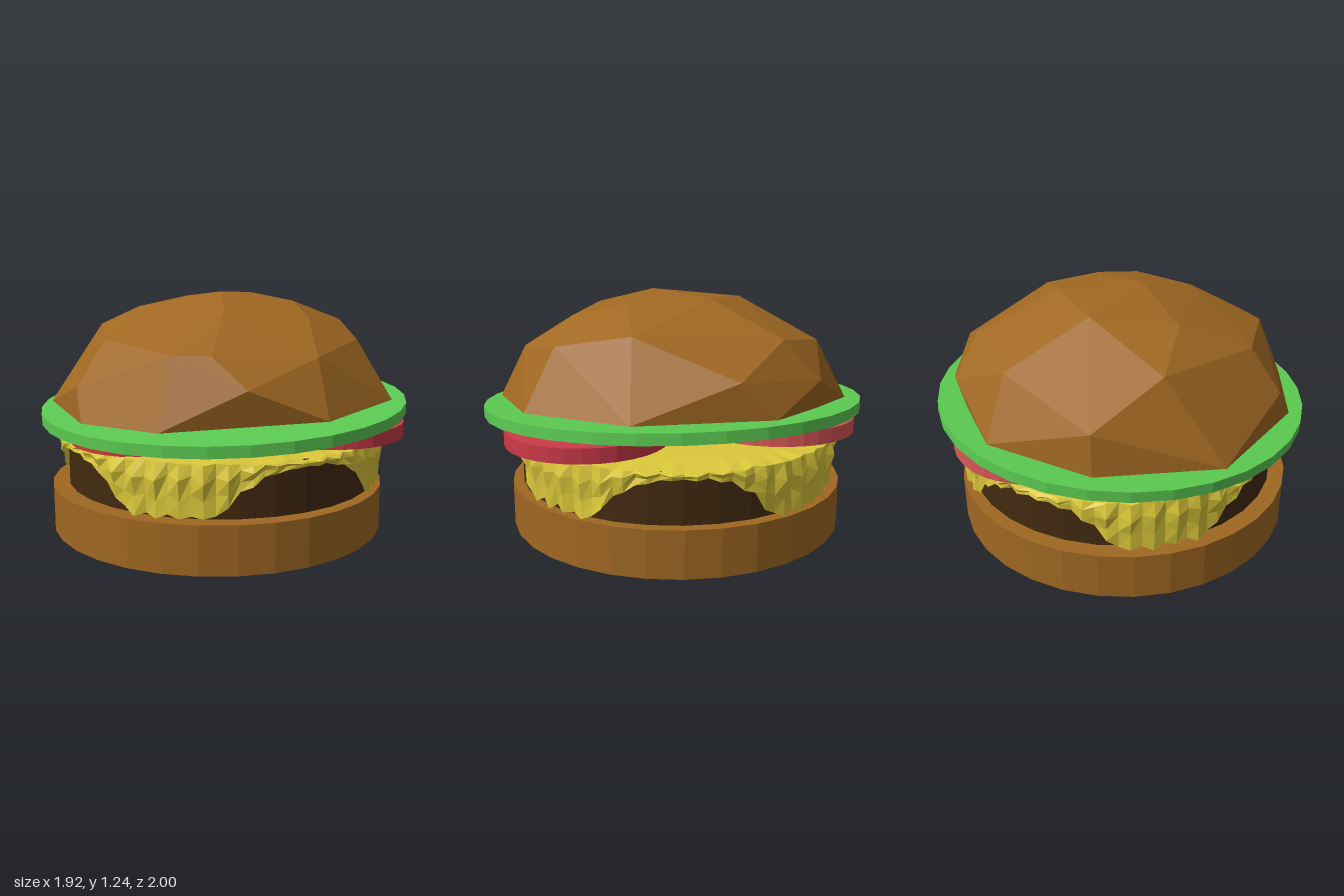
import * as THREE from 'three';
import { ConvexGeometry } from 'three/addons/geometries/ConvexGeometry.js';

const BUN = 0xa06822;

function material(color, extra = {}) {
  return new THREE.MeshStandardMaterial({ color, flatShading: true, ...extra });
}

function disc(name, color, radius, height, x, y, z) {
  const mesh = new THREE.Mesh(new THREE.CylinderGeometry(radius, radius, height, 32), material(color));
  mesh.name = name;
  mesh.position.set(x, y, z);
  return mesh;
}

// Faceted dome: an irregular rim on a slightly tilted plane, plus hull points above it
function topBun() {
  const rim = [[0.21, -0.89], [-0.34, -0.84], [-0.81, -0.44], [-0.87, 0.21], [-0.66, 0.62],
    [0.05, 0.91], [0.57, 0.72], [0.89, 0.22], [0.79, -0.44], [0.5, -0.68]];
  const dome = [
    [-0.85, 0.8, 0.1], [-0.31, 0.84, 0.8], [0.81, 0.9, -0.27], [0.56, 0.86, -0.68], [-0.32, 0.87, -0.82],
    [-0.55, 0.98, 0.54], [-0.69, 1.02, 0.08], [-0.4, 0.98, 0.63], [0.08, 0.96, 0.77], [0.45, 1.01, 0.58],
    [0.62, 1.08, 0.21], [0.55, 1.05, -0.5], [0.21, 1.0, -0.73], [-0.5, 1.05, -0.48],
    [-0.41, 1.16, -0.16], [-0.2, 1.16, 0.39], [0.2, 1.13, 0.51], [0.29, 1.19, 0.24],
    [0.28, 1.22, -0.17], [-0.03, 1.2, -0.36], [-0.06, 1.24, 0.1],
  ];
  const points = [
    ...rim.map(([x, z]) => new THREE.Vector3(x, 0.687 + 0.049 * x, z)),
    ...dome.map((p) => new THREE.Vector3(...p)),
  ];
  const mesh = new THREE.Mesh(new ConvexGeometry(points), material(BUN));
  mesh.name = 'topBun';
  return mesh;
}

// Square slice draped over the patty: four long corners with arches between them
function cheese() {
  let seed = 7;
  const jag = () => {
    seed = (seed * 16807) % 2147483647;
    return seed / 2147483647 - 0.5;
  };
  const segments = 96, quarter = Math.PI / 2, top = 0.515;
  const rows = [0, 0.4, 0.8, 1, 1, 1, 1];
  const positions = [], index = [];
  for (let i = 0; i < segments; i++) {
    const a = (i / segments) * Math.PI * 2;
    const fromSide = Math.abs(a - Math.round(a / quarter) * quarter);
    const t = Math.min(1, fromSide / 0.506);
    const drop = 0.045 + 0.215 * t ** 3;
    const tooth = i % 2 ? 0.012 : -0.012;
    rows.forEach((row, k) => {
      let r = row * 0.845, y = top;
      if (k === 3) {
        r += tooth * 0.6 + jag() * 0.01;
        y -= 0.012 + jag() * 0.012;
      } else if (k > 3) {
        const fraction = [0.32, 0.65, 1][k - 4];
        r += (k === 4 ? 0.015 : 0.006) + tooth * (k === 4 ? 1 : 0.5) + jag() * 0.016;
        y -= Math.max(0.02, drop * fraction) + (tooth + jag() * 0.02) * t;
      }
      positions.push(r * Math.sin(a), y, r * Math.cos(a) - 0.02);
    });
  }
  const n = rows.length;
  for (let i = 0; i < segments; i++) {
    for (let k = 0; k < n - 1; k++) {
      const a = i * n + k, b = ((i + 1) % segments) * n + k;
      if (k > 0) index.push(a, a + 1, b);
      index.push(b, a + 1, b + 1);
    }
  }
  const geometry = new THREE.BufferGeometry();
  geometry.setAttribute('position', new THREE.Float32BufferAttribute(positions, 3));
  geometry.setIndex(index);
  geometry.computeVertexNormals();
  const mesh = new THREE.Mesh(geometry, material(0xdcc83a, { side: THREE.DoubleSide }));
  mesh.name = 'cheese';
  return mesh;
}

export function createModel() {
  const group = new THREE.Group();
  group.name = 'hamburger';

  group.add(disc('bottomBun', BUN, 0.89, 0.24, -0.02, 0.12, -0.02));
  group.add(disc('patty', 0x432a10, 0.825, 0.255, 0, 0.3725, -0.015));
  group.add(cheese());

  // Three overlapping tomato slices
  const left = disc('tomatoSliceRight', 0xd03a34, 0.41, 0.07, -0.45, 0.54, 0.07);
  left.rotation.z = 0.01;
  group.add(left);
  group.add(disc('tomatoSliceFront', 0xcc3a48, 0.41, 0.075, 0.355, 0.56, 0.44));
  const back = disc('tomatoSliceBack', 0xd85656, 0.415, 0.075, 0.2, 0.58, -0.52);
  back.rotation.z = 0.015;
  group.add(back);

  // Tilted, slightly oval lettuce leaf
  const lettuce = disc('lettuce', 0x5ccc52, 1, 0.055, 0, 0.64, 0);
  lettuce.scale.x = 0.96;
  lettuce.rotation.set(0.017, 0, 0.052);
  group.add(lettuce);

  group.add(topBun());
  return group;
}
